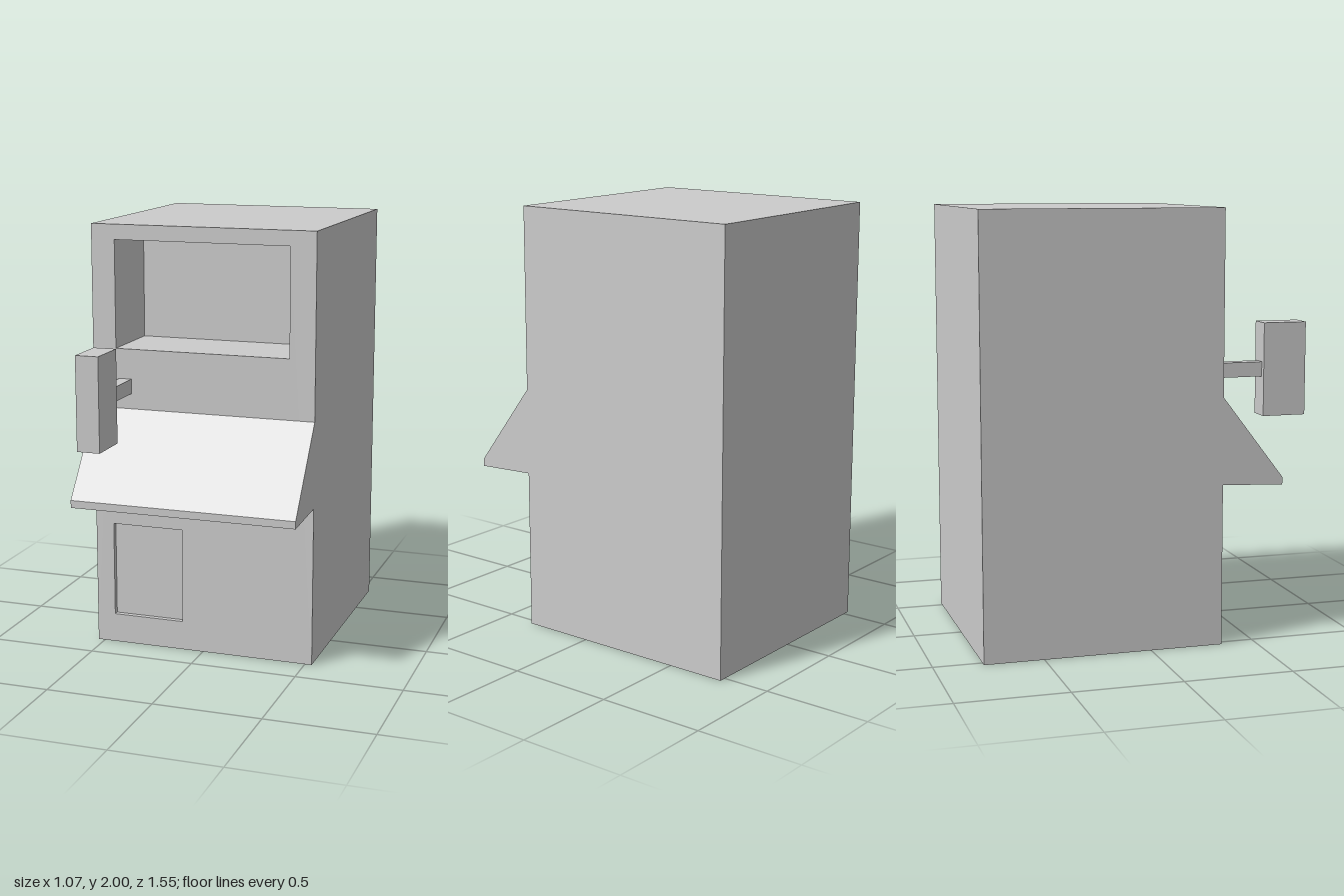
import * as THREE from 'three';

const material = new THREE.MeshStandardMaterial({ color: 0xcccccc, flatShading: true });
const W = 0.533, H = 2, BACK = -0.776, FRONT = 0.339;

function add(parent, name, geometry) {
  const mesh = new THREE.Mesh(geometry, material);
  mesh.name = name;
  parent.add(mesh);
  return mesh;
}

// box given by its limits on each axis
function boxBetween(x0, x1, y0, y1, z0, z1) {
  return new THREE.BoxGeometry(x1 - x0, y1 - y0, z1 - z0)
    .translate((x0 + x1) / 2, (y0 + y1) / 2, (z0 + z1) / 2);
}

// box without its +z face; turned inside out for a recess
function openBox(x0, x1, y0, y1, z0, z1, inward = false) {
  const g = boxBetween(x0, x1, y0, y1, z0, z1);
  const index = Array.from(g.index.array);
  index.splice(24, 6);
  if (inward) {
    index.reverse();
    const n = g.attributes.normal;
    for (let i = 0; i < n.count; i++) n.setXYZ(i, -n.getX(i), -n.getY(i), -n.getZ(i));
  }
  g.setIndex(index);
  g.clearGroups();
  return g;
}

function polygon(points) {
  return points.map(([x, y]) => new THREE.Vector2(x, y));
}

function rectangle(x0, x1, y0, y1) {
  return polygon([[x0, y0], [x1, y0], [x1, y1], [x0, y1]]);
}

export function createModel() {
  const model = new THREE.Group();
  model.name = 'cabinetMachine';

  // cabinet shell and its front panel with two openings
  const cabinet = new THREE.Group();
  cabinet.name = 'cabinet';
  model.add(cabinet);
  add(cabinet, 'cabinetShell', openBox(-W, W, 0, H, BACK, FRONT));

  const panel = new THREE.Shape(rectangle(-W, W, 0, H));
  const recesses = [
    { name: 'displayRecess', rect: [-0.42, 0.413, 1.43, 1.93], depth: 0.36 },
    { name: 'doorRecess', rect: [-0.445, -0.102, 0.138, 0.588], depth: 0.025 },
  ];
  for (const { name, rect, depth } of recesses) {
    panel.holes.push(new THREE.Path(rectangle(...rect)));
    add(cabinet, name, openBox(...rect, FRONT - depth, FRONT, true));
  }
  add(cabinet, 'frontPanel', new THREE.ShapeGeometry(panel).translate(0, 0, FRONT));

  // sloping shelf: side profile (z, y) extruded across the full width
  const profile = new THREE.Shape(polygon([
    [FRONT, 0.748], [0.629, 0.735], [0.629, 0.77], [FRONT, 1.15],
  ]));
  const shelf = new THREE.ExtrudeGeometry(profile, { depth: 2 * W, bevelEnabled: false });
  shelf.translate(0, 0, -W).rotateY(-Math.PI / 2);
  add(model, 'slopingShelf', shelf);

  // handset on its arm
  const handset = new THREE.Group();
  handset.name = 'handset';
  model.add(handset);
  add(handset, 'handsetArm', boxBetween(-0.405, -0.345, 1.222, 1.29, FRONT, 0.571));
  add(handset, 'handsetGrip', boxBetween(-0.43, -0.322, 1.04, 1.472, 0.571, 0.776));

  return model;
}
